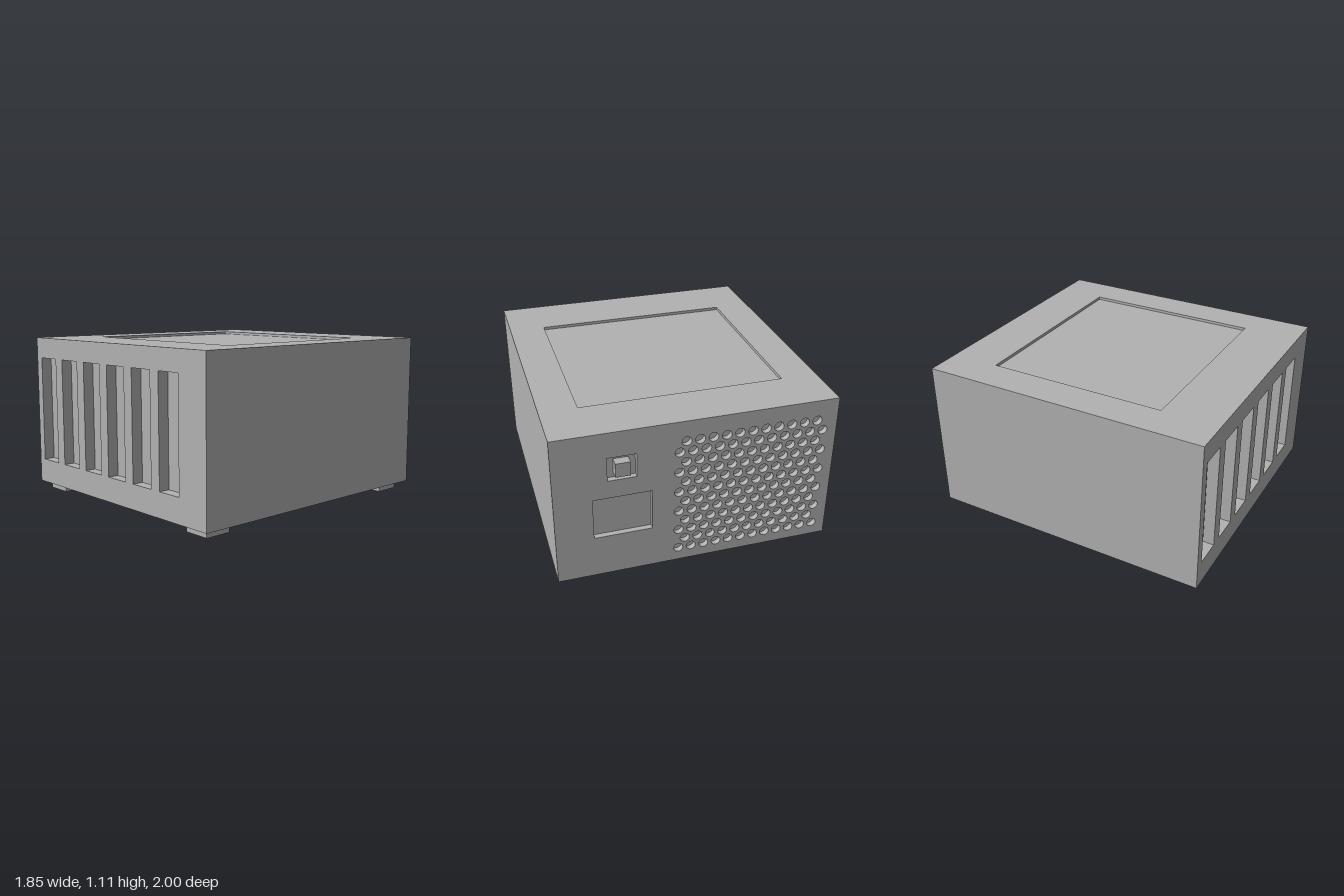
import * as THREE from 'three';
import { mergeGeometries } from 'three/addons/utils/BufferGeometryUtils.js';

// Corner points, counter-clockwise
const rect = (x0, y0, x1, y1) => [[x0, y0], [x1, y0], [x1, y1], [x0, y1]].map(([x, y]) => new THREE.Vector2(x, y));
const disc = (x, y, r, n = 16) => Array.from({ length: n }, (_, i) => {
  const a = (i / n) * Math.PI * 2;
  return new THREE.Vector2(x + r * Math.cos(a), y + r * Math.sin(a));
});

function flatFace(points, holes = [], z = 0) {
  const shape = new THREE.Shape(points);
  shape.holes = holes.map((h) => new THREE.Path(h));
  const g = new THREE.ShapeGeometry(shape).toNonIndexed();
  g.deleteAttribute('uv');
  return g.translate(0, 0, z);
}

// Inward-facing walls of a recess
function walls(points, depth) {
  const pos = [];
  points.forEach((p, i) => {
    const q = points[(i + 1) % points.length];
    pos.push(p.x, p.y, 0, q.x, q.y, 0, p.x, p.y, -depth);
    pos.push(q.x, q.y, 0, q.x, q.y, -depth, p.x, p.y, -depth);
  });
  const g = new THREE.BufferGeometry();
  g.setAttribute('position', new THREE.Float32BufferAttribute(pos, 3));
  g.computeVertexNormals();
  return g;
}

// Flat panel facing +z with recesses of one depth
function panel(outline, recesses = [], depth = 0) {
  const parts = [flatFace(outline, recesses)];
  for (const r of recesses) parts.push(walls(r, depth), flatFace(r, [], -depth));
  return mergeGeometries(parts);
}

export function createModel() {
  const model = new THREE.Group();
  const grey = new THREE.MeshStandardMaterial({ color: 0xb2b2b2 });
  grey.name = 'grey';
  const add = (name, geometry) => {
    const m = new THREE.Mesh(geometry, grey);
    m.name = name;
    model.add(m);
    return m;
  };

  const W = 0.925, Y0 = 0.053, Y1 = 1.11, ZF = 1, ZB = -0.976;
  const pitch = 0.0867, row = 0.0743, holeR = 0.032;

  // Front with six drive bays
  const bays = [];
  for (let i = 0; i < 6; i++) {
    const x = -0.865 + i * 0.271;
    bays.push(rect(x, 0.222, x + 0.188, 0.966));
  }
  add('frontPanel', panel(rect(-W, Y0, W, Y1), bays, 0.075)).position.z = ZF;

  // Back with switch recess, socket recess and staggered vent holes
  const back = [rect(-0.583, 0.77, -0.398, 0.934), rect(-0.68, 0.352, -0.3, 0.643)];
  for (let j = 0; j < 12; j++) {
    const odd = j % 2;
    for (let i = 0; i < 11 + odd; i++) {
      back.push(disc(-0.125 + (odd ? 0 : pitch / 2) + i * pitch, 0.967 - j * row, holeR));
    }
  }
  add('backPanel', panel(rect(-W, Y0, W, Y1), back, 0.037).rotateY(Math.PI)).position.z = ZB;

  // Top with shallow tray
  add('topPanel', panel(rect(-W, -ZF, W, -ZB), [rect(-0.68, -0.603, 0.68, 0.635)], 0.02)
    .rotateX(-Math.PI / 2)).position.y = Y1;

  // Underside with round field of vent holes
  const vents = [];
  for (let j = -9; j <= 9; j++) {
    for (let i = -9; i <= 9; i++) {
      const x = (i + (j % 2 ? 0.5 : 0)) * pitch, z = j * row;
      if (Math.hypot(x, z) < 0.66) vents.push(disc(x, z + 0.012, holeR));
    }
  }
  add('bottomPanel', panel(rect(-W, ZB, W, ZF), vents, 0.037).rotateX(Math.PI / 2)).position.y = Y0;

  // Plain sides
  for (const s of [1, -1]) {
    const outline = s > 0 ? rect(-ZF, Y0, -ZB, Y1) : rect(ZB, Y0, ZF, Y1);
    add(s > 0 ? 'leftSide' : 'rightSide', panel(outline).rotateY(s * Math.PI / 2)).position.x = s * W;
  }

  // Power switch
  add('powerSwitch', new THREE.BoxGeometry(0.096, 0.098, 0.062)).position.set(0.49, 0.852, -0.969);

  // Feet
  for (const x of [-0.772, 0.772]) {
    for (const z of [0.853, -0.819]) {
      add('foot', new THREE.BoxGeometry(0.185, Y0, 0.185)).position.set(x, Y0 / 2, z);
    }
  }
  return model;
}
